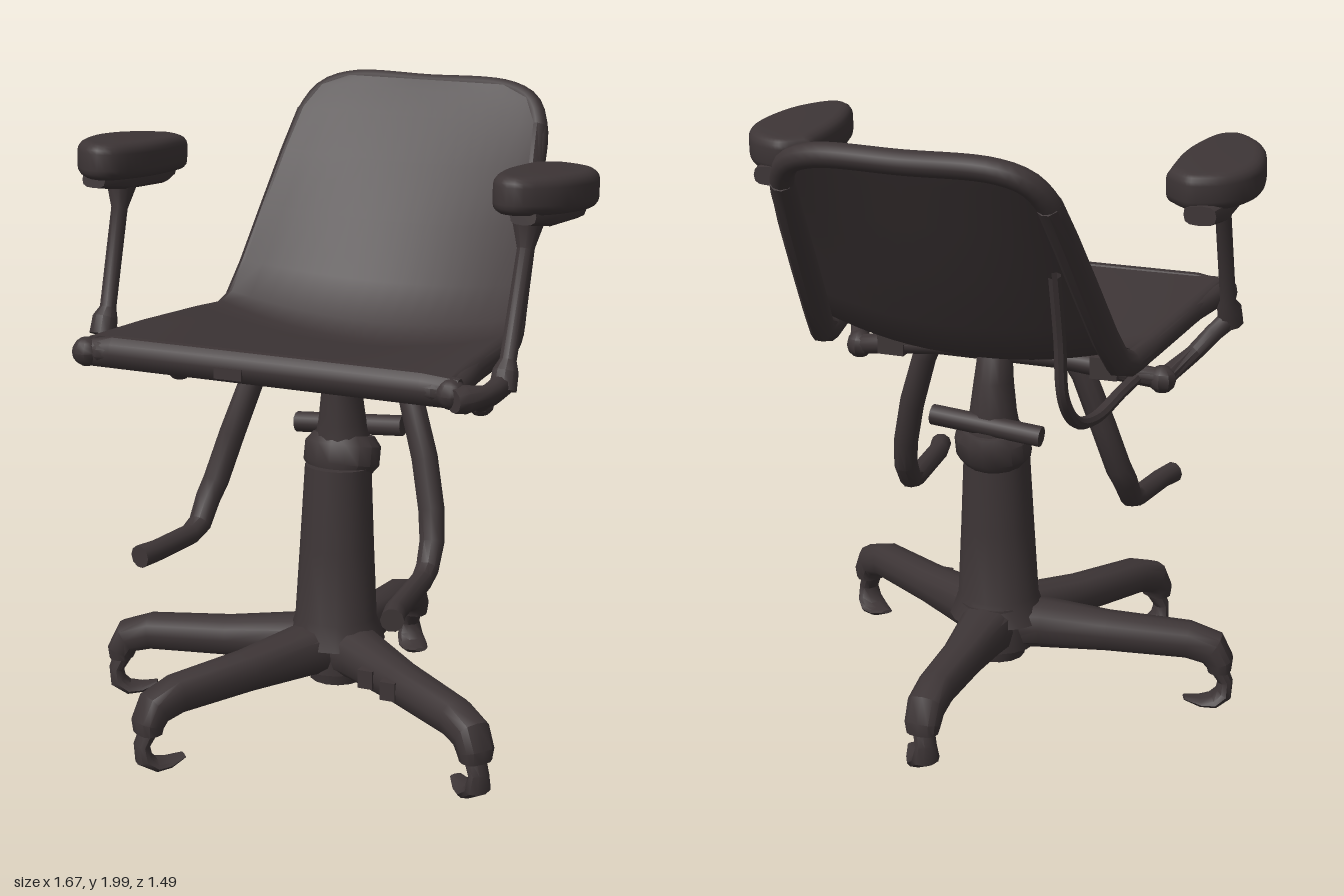
import * as THREE from 'three';
import { toCreasedNormals } from 'three/addons/utils/BufferGeometryUtils.js';

const V = (x, y, z) => new THREE.Vector3(x, y, z);
const darkPlastic = new THREE.MeshStandardMaterial({ color: 0x3d3536, side: THREE.DoubleSide });
darkPlastic.name = 'darkPlastic';

function part(parent, name, geometry, x = 0, y = 0, z = 0) {
  const mesh = new THREE.Mesh(toCreasedNormals(geometry, 0.7), darkPlastic);
  mesh.name = name;
  mesh.position.set(x, y, z);
  parent.add(mesh);
  return mesh;
}

// Closed loft along points [x, y, z, halfWidth, halfHeight]; width is measured along "side".
// A power below 1 makes the section boxier.
function sweep(points, side = V(1, 0, 0), sides = 10, power = 1) {
  const pos = [], index = [], n = points.length;
  const at = (i) => V(...points[Math.min(n - 1, Math.max(0, i))].slice(0, 3));
  const bulge = (v) => Math.sign(v) * Math.abs(v) ** power;
  points.forEach(([, , , w, h = w], i) => {
    const t = at(i + 1).sub(at(i - 1)).normalize();
    const s = side.clone().addScaledVector(t, -side.dot(t)).normalize();
    const up = t.clone().cross(s);
    for (let j = 0; j < sides; j++) {
      const a = (j / sides) * Math.PI * 2;
      const p = at(i).addScaledVector(s, w * bulge(Math.cos(a))).addScaledVector(up, h * bulge(Math.sin(a)));
      pos.push(p.x, p.y, p.z);
    }
  });
  pos.push(...at(0).toArray(), ...at(n - 1).toArray());
  for (let j = 0; j < sides; j++) {
    const k = (j + 1) % sides, last = (n - 1) * sides;
    for (let i = 0; i < n - 1; i++) {
      const a = i * sides + j, b = i * sides + k;
      index.push(a, b, a + sides, b, b + sides, a + sides);
    }
    index.push(n * sides, k, j, n * sides + 1, last + j, last + k);
  }
  const g = new THREE.BufferGeometry();
  g.setAttribute('position', new THREE.Float32BufferAttribute(pos, 3));
  g.setIndex(index);
  return g;
}

// Seat shell profile from front edge to top of back: z, y, outer half width, half thickness, sag of the middle
const PROFILE = [
  [0.575, 1.305, 0.61, 0.043, 0], [0.3, 1.295, 0.585, 0.041, 0.03], [0, 1.275, 0.555, 0.04, 0.07],
  [-0.14, 1.262, 0.535, 0.042, 0.08], [-0.22, 1.29, 0.522, 0.048, 0.085], [-0.3, 1.39, 0.505, 0.053, 0.08],
  [-0.42, 1.56, 0.485, 0.053, 0.065], [-0.54, 1.73, 0.465, 0.049, 0.045], [-0.63, 1.86, 0.445, 0.042, 0.02],
  [-0.68, 1.93, 0.4, 0.04, 0.01], [-0.705, 1.963, 0.31, 0.039, 0],
];
const RIM = 0.037;

function buildShell(group) {
  // Panel lies flush on the rim and sinks in the middle
  const cols = 16, pos = [], index = [];
  PROFILE.forEach(([z, y, hw, thick, sag], i) => {
    const a = PROFILE[Math.max(0, i - 1)], b = PROFILE[Math.min(PROFILE.length - 1, i + 1)];
    const len = Math.hypot(b[0] - a[0], b[1] - a[1]);
    const ny = (a[0] - b[0]) / len, nz = (b[1] - a[1]) / len;
    for (let c = 0; c <= cols; c++) {
      const u = (c / cols) * 2 - 1;
      const off = thick + 0.002 - sag * (1 - u * u);
      pos.push(u * (hw - RIM), y + ny * off, z + nz * off);
      if (i && c) {
        const d = i * (cols + 1) + c, e = d - cols - 1;
        index.push(e - 1, e, d, e - 1, d, d - 1);
      }
    }
  });
  const panel = new THREE.BufferGeometry();
  panel.setAttribute('position', new THREE.Float32BufferAttribute(pos, 3));
  panel.setIndex(index);
  part(group, 'seatAndBackPanel', panel);

  // Rolled rim around the whole shell, deeper along the sides
  const sidePoints = PROFILE.map(([z, y, hw]) => V(hw - RIM, y, z));
  const other = sidePoints.map((p) => V(-p.x, p.y, p.z)).reverse();
  const front = [-0.5, 0, 0.5].map((x) => V(x, 1.305, 0.575));
  const rim = new THREE.CatmullRomCurve3([...sidePoints, V(0, 1.965, -0.71), ...other, ...front], true, 'centripetal');
  part(group, 'shellRim', new THREE.TubeGeometry(rim, 160, RIM, 10, true));
  for (const s of [-1, 1]) {
    part(group, 'sideFlange', sweep(PROFILE.slice(0, 9).map(([z, y, hw, thick]) => [s * (hw - RIM), y, z, RIM, thick])));
    part(group, 'cornerCap', new THREE.SphereGeometry(0.045, 10, 8), s * 0.59, 1.3, 0.585);
  }
  part(group, 'frontEdge', sweep([[-0.61, 1.295, 0.575, 0.035, 0.04], [-0.5, 1.305, 0.575, 0.04, 0.05],
    [0.5, 1.305, 0.575, 0.04, 0.05], [0.61, 1.3, 0.575, 0.035, 0.045]], V(0, 0, 1)));
  part(group, 'frontTab', new THREE.BoxGeometry(0.09, 0.035, 0.02), -0.1, 1.29, 0.608);
}

function buildBase(group) {
  const hubZ = 0.05;
  part(group, 'hub', new THREE.CylinderGeometry(0.125, 0.13, 0.15, 16), 0, 0.265, hubZ);
  part(group, 'hubCap', new THREE.CylinderGeometry(0.1, 0.09, 0.05, 14), 0, 0.168, hubZ);
  // Four legs, each with a hooked foot: end x, end z, then the way the hook's heel points
  for (const [x, z, hx, hz] of [[-0.35, 0.69, -1, 1], [-0.72, 0.18, -1, 0.5], [0.64, 0.48, 1, 0.8], [0.01, -0.57, -0.8, -1]]) {
    const leg = new THREE.Group();
    leg.name = 'baseLeg';
    leg.position.z = hubZ;
    leg.rotation.y = -Math.atan2(z - hubZ, x);
    group.add(leg);
    const r = Math.hypot(x, z - hubZ), side = V(0, 0, 1);
    part(leg, 'legArm', sweep([[0, 0.265, 0, 0.105, 0.085], [0.15, 0.262, 0, 0.08, 0.078], [r * 0.5, 0.25, 0, 0.064, 0.063],
      [r - 0.1, 0.24, 0, 0.058, 0.058], [r - 0.02, 0.215, 0, 0.058, 0.055], [r + 0.005, 0.17, 0, 0.056, 0.045],
      [r + 0.005, 0.14, 0, 0.05, 0.038]], side, 12, 0.75));
    const hook = part(group, 'footHook', sweep([[0, 0.15, 0, 0.035, 0.03], [0.025, 0.1, 0, 0.035, 0.025],
      [0.02, 0.055, 0, 0.045, 0.028], [-0.015, 0.03, 0, 0.05, 0.02], [-0.06, 0.03, 0, 0.04, 0.014],
      [-0.11, 0.045, 0, 0.02, 0.006]], side), x, 0, z);
    hook.rotation.y = -Math.atan2(hz, hx);
  }
  for (const [x, z] of [[0.2, 0.26], [0.3, 0.32]]) {
    part(group, 'legButton', new THREE.BoxGeometry(0.05, 0.06, 0.06), x, 0.25, z);
  }
}

function buildColumn(group) {
  const side = V(1, 0, 0);
  part(group, 'column', sweep([[0, 0.28, 0.06, 0.16, 0.15], [0, 0.36, 0.06, 0.133, 0.122],
    [0, 0.6, 0.052, 0.12, 0.11], [0, 0.86, 0.042, 0.107, 0.1]], side, 16));
  part(group, 'collar', sweep([[0, 0.83, 0.025, 0.1, 0.085], [0, 0.86, 0.018, 0.125, 0.1], [0, 0.92, 0.003, 0.125, 0.1],
    [0, 0.95, -0.004, 0.1, 0.085]], side, 16));
  part(group, 'neck', sweep([[0, 0.93, 0.01, 0.09, 0.085], [0, 1.0, 0.01, 0.075, 0.08], [0, 1.1, 0.015, 0.062, 0.075],
    [0, 1.19, 0.028, 0.055, 0.058], [0, 1.225, 0.032, 0.045, 0.045]], side, 14));
  const bar = part(group, 'lockingBar', new THREE.CylinderGeometry(0.033, 0.033, 0.37, 10), 0, 0.97, -0.05);
  bar.rotation.z = Math.PI / 2 + 0.08;
}

// Pad outline: distance from the middle plane, z
const PAD = [[0.577, -0.07], [0.64, -0.125], [0.69, -0.13], [0.77, -0.09], [0.825, 0], [0.832, 0.11],
  [0.79, 0.26], [0.7, 0.36], [0.62, 0.34], [0.58, 0.23], [0.567, 0.1]];

function buildArm(group, s) {
  const arm = new THREE.Group();
  arm.name = s > 0 ? 'leftArm' : 'rightArm';
  group.add(arm);
  const bottomZ = s > 0 ? 0.41 : 0.31, topZ = s > 0 ? 0.23 : 0.17, x = s * 0.685;
  part(arm, 'armPost', sweep([[x, 1.28, bottomZ + 0.01, 0.042], [x, 1.33, bottomZ - 0.01, 0.04],
    [x, 1.36, bottomZ - 0.03, 0.026], [x, 1.66, topZ + 0.02, 0.026], [x, 1.74, topZ, 0.05]]));
  // Rounded pad and the bracket below it
  const outline = new THREE.Shape(new THREE.SplineCurve([...PAD, PAD[0]].map(([px, pz]) =>
    new THREE.Vector2(s * (px - 0.7), pz - 0.12))).getPoints(40));
  const padGeometry = new THREE.ExtrudeGeometry(outline, { depth: 0.05, bevelThickness: 0.032, bevelSize: 0.035,
    bevelOffset: -0.035, bevelSegments: 4 });
  padGeometry.rotateX(Math.PI / 2).translate(0, 0.025, 0);
  part(arm, 'armPad', padGeometry, s * 0.7, 1.815, 0.12).rotation.x = -0.07;
  part(arm, 'padBracket', sweep([[s * 0.7, 1.735, -0.13, 0.05, 0.03], [s * 0.7, 1.735, -0.05, 0.07, 0.038],
    [s * 0.7, 1.755, 0.2, 0.07, 0.035], [s * 0.7, 1.77, 0.32, 0.04, 0.025]], V(1, 0, 0), 12, 0.7));
  // Bent support running under the seat to the mechanism
  const elbow = s > 0 ? 0.5 : 0.53;
  part(arm, 'armSupport', sweep([[s * 0.69, 1.3, bottomZ, 0.033], [s * 0.64, 1.25, bottomZ - 0.03, 0.03],
    [s * (elbow + 0.06), 1.19, 0.24, 0.028], [s * elbow, 1.14, 0.1, 0.035], [s * 0.38, 1.165, 0.07, 0.034],
    [s * 0.2, 1.185, 0.05, 0.03], [0, 1.19, 0.035, 0.03]], V(0, 0, 1)));
  part(arm, 'supportClamp', new THREE.BoxGeometry(0.09, 0.07, 0.09), s * 0.36, 1.175, 0.07);
  part(arm, 'supportKnob', new THREE.SphereGeometry(0.045, 8, 6), s * elbow, 1.14, 0.1);
}

function buildFootrest(group, s) {
  const y = s > 0 ? 0.615 : 0.655, end = s > 0 ? 0.65 : 0.56;
  part(group, s > 0 ? 'leftFootrest' : 'rightFootrest', sweep([
    [s * 0.22, 1.2, 0.08, 0.03], [s * 0.27, 1.13, 0.1, 0.04], [s * 0.33, 0.95, 0.13, 0.042],
    [s * 0.37, 0.8, 0.17, 0.042], [s * 0.385, y + 0.09, 0.2, 0.04], [s * 0.39, y + 0.02, 0.25, 0.037],
    [s * 0.395, y, 0.31, 0.034], [s * 0.42, y, end - 0.07, 0.034], [s * 0.44, y, end, 0.036]]));
}

export function createModel() {
  const group = new THREE.Group();
  group.name = 'chair';
  buildShell(group);
  buildBase(group);
  buildColumn(group);
  for (const s of [-1, 1]) {
    buildArm(group, s);
    buildFootrest(group, s);
  }
  part(group, 'seatPlate', new THREE.BoxGeometry(0.52, 0.02, 0.16), 0.1, 1.205, 0.06);
  // Clamp joining the left arm post to the seat corner
  part(group, 'cornerClamp', sweep([[0.685, 1.3, 0.4, 0.035], [0.675, 1.29, 0.48, 0.03],
    [0.67, 1.29, 0.53, 0.03], [0.63, 1.29, 0.59, 0.042], [0.61, 1.29, 0.62, 0.035]]));

  // Curved spring rod from the mechanism to the back
  const rod = new THREE.CatmullRomCurve3([V(-0.38, 1.62, -0.5), V(-0.38, 1.42, -0.45), V(-0.38, 1.22, -0.41),
    V(-0.39, 1.12, -0.32), V(-0.41, 1.095, -0.2), V(-0.44, 1.13, -0.03), V(-0.46, 1.15, 0.1)]);
  part(group, 'springRod', new THREE.TubeGeometry(rod, 40, 0.02, 8));
  return group;
}
